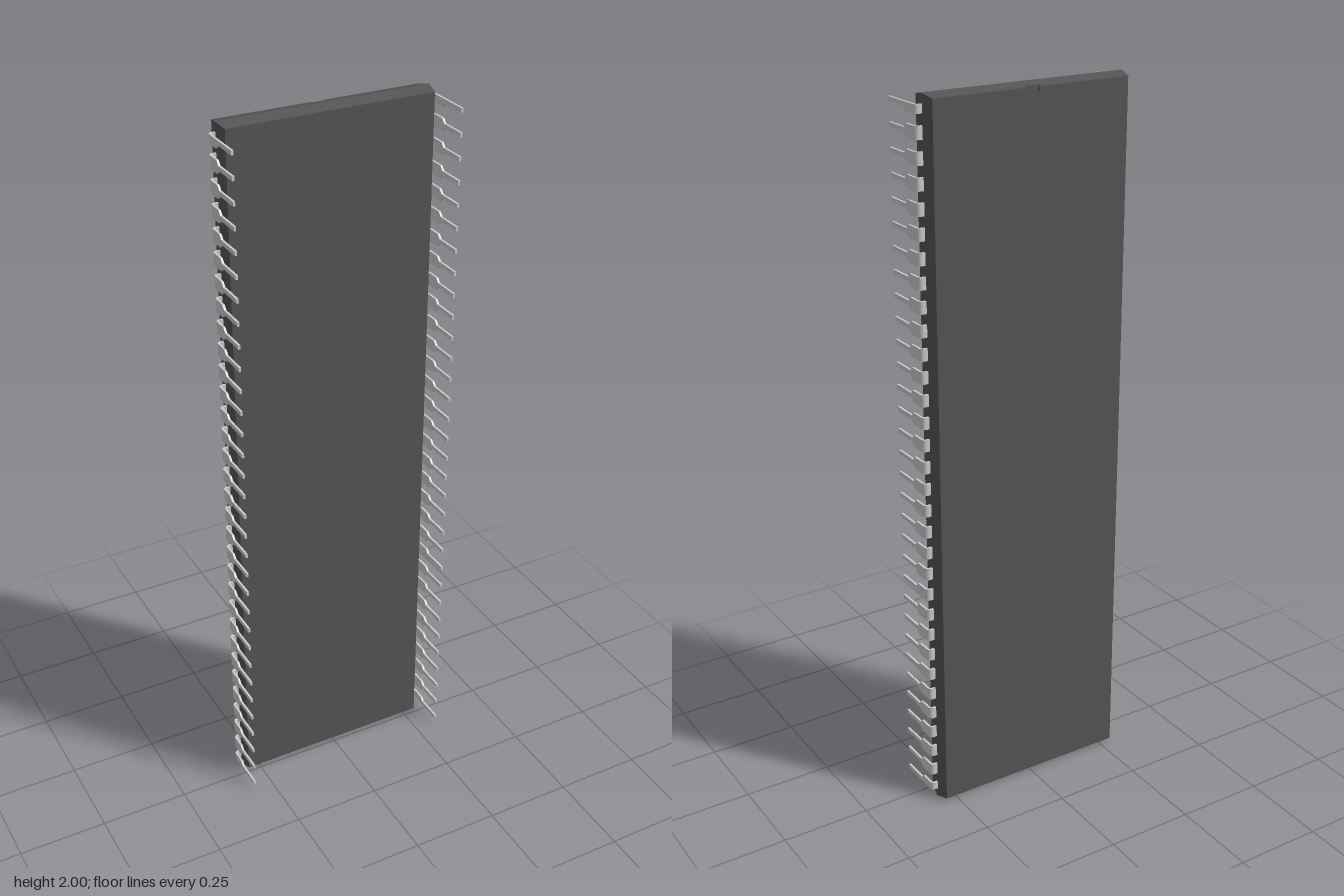
import * as THREE from 'three';

// Skin a list of equal-length loops (counter-clockwise about the sweep) and cap the ends
function loft(loops, capStart) {
  const pos = [];
  const tri = (a, b, c) => pos.push(...a, ...b, ...c);
  for (let k = 0; k < loops.length - 1; k++) {
    const lo = loops[k], hi = loops[k + 1], n = lo.length;
    for (let i = 0; i < n; i++) {
      const j = (i + 1) % n;
      tri(lo[i], lo[j], hi[j]);
      tri(lo[i], hi[j], hi[i]);
    }
  }
  const cap = (loop, flip) => {
    const pts = loop.map(p => new THREE.Vector2(p[0], p[1]));
    for (const [a, b, c] of THREE.ShapeUtils.triangulateShape(pts, [])) {
      if (flip) tri(loop[a], loop[c], loop[b]);
      else tri(loop[a], loop[b], loop[c]);
    }
  };
  cap(loops[loops.length - 1], false);
  if (capStart) cap(loops[0], true);
  const g = new THREE.BufferGeometry();
  g.setAttribute('position', new THREE.Float32BufferAttribute(pos, 3));
  g.computeVertexNormals();
  return g;
}

// Body outline at depth z; inset shrinks all four edges, notch dips the top edge
function bodyLoop(z, inset, notch) {
  const w = 0.294 - inset, top = 2 - inset, steps = 16, r = 0.0195;
  const loop = [[-w, inset, z], [w, inset, z], [w, top, z]];
  for (let i = 0; i <= steps; i++) {
    const a = Math.PI * i / steps;
    const inner = i > 0 && i < steps;
    loop.push([r * Math.cos(a), notch && inner ? 1.991 - r * Math.sin(a) : top, z]);
  }
  loop.push([-w, top, z]);
  return loop;
}

// Bent pin: wide shoulder, taper, narrow leg. below/above are the shoulder's reach in y
function pinGeometry(below, above) {
  const t = 0.003, leg = 0.006, loops = [];
  const section = (x, z, angle, lo, hi) => {
    const nx = Math.sin(angle) * t, nz = -Math.cos(angle) * t;
    loops.push([
      [x - nx, -lo, z - nz], [x + nx, -lo, z + nz],
      [x + nx, hi, z + nz], [x - nx, hi, z - nz],
    ]);
  };
  section(0.28, -0.046, 0, below, above);
  for (let i = 0; i <= 5; i++) {
    const a = Math.PI / 2 * i / 5;
    section(0.302 + 0.008 * Math.sin(a), -0.038 - 0.008 * Math.cos(a), a, below, above);
  }
  section(0.31, -0.001, Math.PI / 2, below, above);
  section(0.31, 0.009, Math.PI / 2, leg, leg);
  section(0.31, 0.085, Math.PI / 2, leg, leg);
  return loft(loops, false);
}

export function createModel() {
  const model = new THREE.Group();
  model.name = 'chipPackage';
  const plastic = new THREE.MeshStandardMaterial({ color: 0x555555, flatShading: true });
  const metal = new THREE.MeshStandardMaterial({ color: 0xcccccc, flatShading: true });

  // Tapered body with a half-round notch at the top of the back face
  const body = new THREE.Mesh(loft([
    bodyLoop(-0.085, 0.009, true),
    bodyLoop(-0.075, 0.0067, true),
    bodyLoop(-0.075, 0.0067, false),
    bodyLoop(-0.045, 0, false),
    bodyLoop(-0.006, 0.008, false),
  ], true), plastic);
  body.name = 'body';
  model.add(body);

  // Two rows of pins; the end pins have only the inward half of the shoulder
  const count = 32, first = 0.032, pitch = (2 - 2 * first) / (count - 1);
  const full = pinGeometry(0.017, 0.017);
  const bottomEnd = pinGeometry(0.006, 0.017);
  const topEnd = pinGeometry(0.017, 0.006);
  for (const side of ['left', 'right']) {
    const row = new THREE.Group();
    row.name = side + 'PinRow';
    for (let i = 0; i < count; i++) {
      const geometry = i === 0 ? bottomEnd : i === count - 1 ? topEnd : full;
      const pin = new THREE.Mesh(geometry, metal);
      pin.name = side + 'Pin' + (i + 1);
      pin.position.y = first + i * pitch;
      row.add(pin);
    }
    // The right row is the left row turned half round
    if (side === 'right') {
      row.rotation.z = Math.PI;
      row.position.y = 2;
    }
    model.add(row);
  }
  return model;
}
